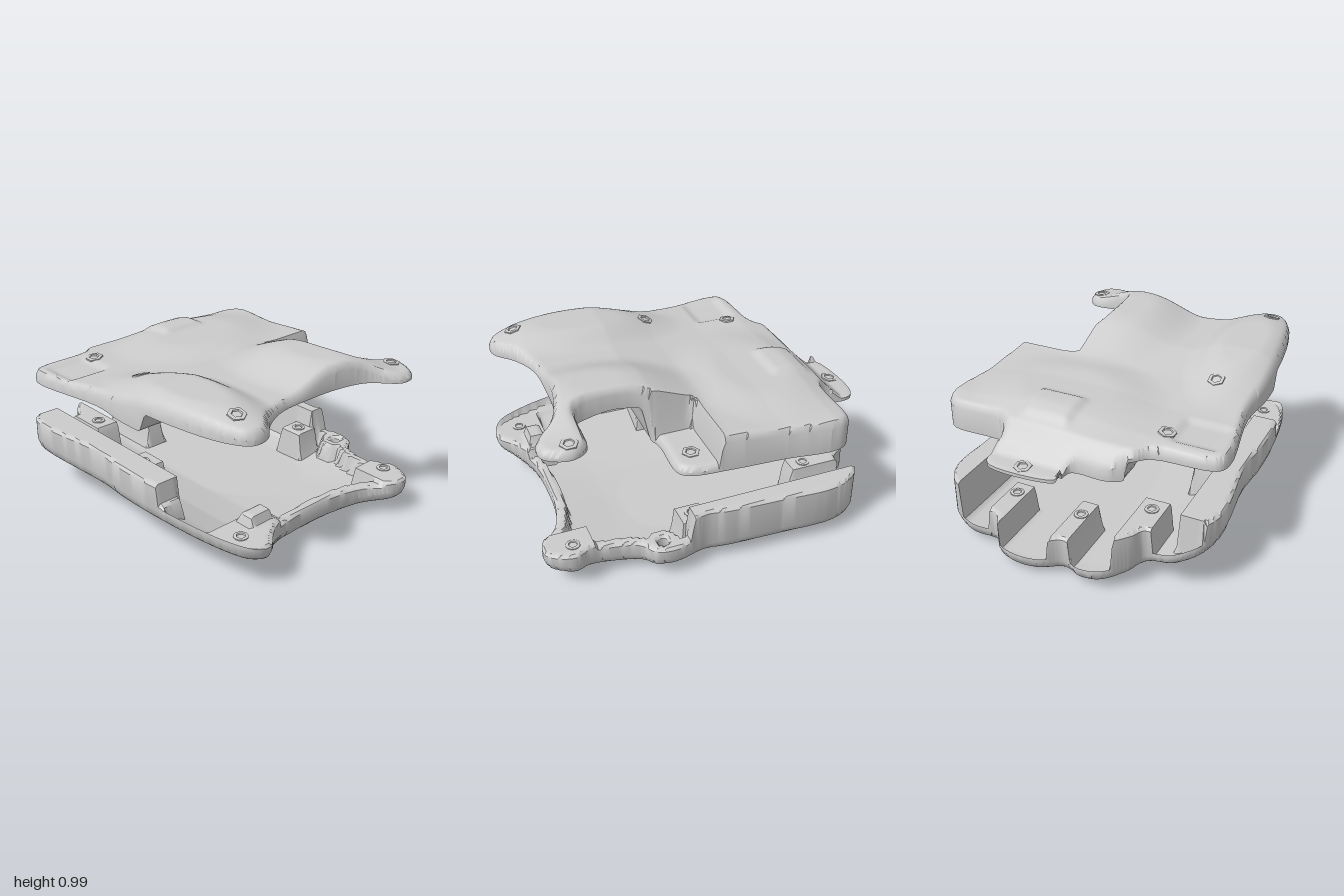
import * as THREE from 'three';
import { toCreasedNormals } from 'three/addons/utils/BufferGeometryUtils.js';

const { smoothstep, lerp } = THREE.MathUtils;
const material = new THREE.MeshStandardMaterial({ color: 0xcccccc });

// Piecewise linear profile through [position, value] pairs
function profile(points, v) {
  if (v <= points[0][0]) return points[0][1];
  for (let i = 1; i < points.length; i++) {
    const [a, ya] = points[i - 1], [b, yb] = points[i];
    if (v <= b) return lerp(ya, yb, (v - a) / (b - a));
  }
  return points[points.length - 1][1];
}

// Soft masks, 1 inside and 0 outside
const oval = (x, z, cx, cz, rx, rz, inner = 0) =>
  1 - smoothstep(Math.hypot((x - cx) / rx, (z - cz) / rz), inner, 1);
const box = (x, z, x0, x1, z0, z1, s = 0.016) =>
  smoothstep(x, x0 - s, x0) * (1 - smoothstep(x, x1, x1 + s)) *
  smoothstep(z, z0 - s, z0) * (1 - smoothstep(z, z1, z1 + s));
const roundEdge = (d, r) => (d >= r ? 0 : r - Math.sqrt(r * r - (r - d) ** 2));

function smoothLoop(points) {
  const v = points.map(([x, z]) => new THREE.Vector3(x, 0, z));
  return new THREE.CatmullRomCurve3(v, true, 'centripetal').getPoints(points.length * 5).map((p) => [p.x, p.z]);
}

function isInside(loops, x, z) {
  let inside = false;
  for (const loop of loops) {
    for (let i = 0, j = loop.length - 1; i < loop.length; j = i++) {
      const [xi, zi] = loop[i], [xj, zj] = loop[j];
      if (zi > z !== zj > z && x < ((xj - xi) * (z - zi)) / (zj - zi) + xi) inside = !inside;
    }
  }
  return inside;
}

function nearestOnLoops(loops, x, z) {
  let best = { d: Infinity, x, z };
  for (const loop of loops) {
    for (let i = 0, j = loop.length - 1; i < loop.length; j = i++) {
      const [ax, az] = loop[j], dx = loop[i][0] - ax, dz = loop[i][1] - az;
      const t = THREE.MathUtils.clamp(((x - ax) * dx + (z - az) * dz) / (dx * dx + dz * dz || 1), 0, 1);
      const px = ax + dx * t, pz = az + dz * t, d = Math.hypot(x - px, z - pz);
      if (d < best.d) best = { d, x: px, z: pz };
    }
  }
  return best;
}

// Closed slab: a grid trimmed to the outline, with a top and a bottom height rule
function slab(name, loops, top, bottom) {
  const step = 0.016, n = 130, at = (i) => (i - n / 2) * step;
  const kept = (i, j) => i >= 0 && j >= 0 && i < n && j < n && cells[j * n + i];
  const cells = [];
  for (let j = 0; j < n; j++) for (let i = 0; i < n; i++) cells.push(isInside(loops, at(i + 0.5), at(j + 0.5)));

  const positions = [], index = [], ids = new Map();
  function corner(i, j) {
    const key = j * (n + 1) + i;
    if (!ids.has(key)) {
      let x = at(i), z = at(j);
      const near = nearestOnLoops(loops, x, z);
      const onEdge = !(kept(i, j) && kept(i - 1, j) && kept(i, j - 1) && kept(i - 1, j - 1));
      if (onEdge) { x = near.x; z = near.z; }
      const d = onEdge ? 0 : near.d;
      const low = bottom(x, z, d), high = Math.max(top(x, z, d), low + 0.02);
      ids.set(key, positions.length / 3);
      positions.push(x, high, z, x, low, z);
    }
    return ids.get(key);
  }
  for (let j = 0; j < n; j++) {
    for (let i = 0; i < n; i++) {
      if (!kept(i, j)) continue;
      const ring = [corner(i, j), corner(i, j + 1), corner(i + 1, j + 1), corner(i + 1, j)];
      const [a, d, c, b] = ring;
      index.push(a, d, c, a, c, b, a + 1, c + 1, d + 1, a + 1, b + 1, c + 1);
      [[-1, 0], [0, 1], [1, 0], [0, -1]].forEach(([di, dj], k) => {
        if (kept(i + di, j + dj)) return;
        const p = ring[k], q = ring[(k + 1) % 4];
        index.push(p, p + 1, q + 1, p, q + 1, q);
      });
    }
  }
  const geometry = new THREE.BufferGeometry();
  geometry.setAttribute('position', new THREE.Float32BufferAttribute(positions, 3));
  geometry.setIndex(index);
  const mesh = new THREE.Mesh(toCreasedNormals(geometry, 0.7), material);
  mesh.name = name;
  return mesh;
}

// Ring with a sunken socket, tilted to lie on the surface
function screw(name, height, x, z, r, sides) {
  const pts = [[r, -0.03], [r, 0.005], [r * 0.6, 0.007], [r * 0.5, -0.004], [0, -0.004]];
  const geometry = new THREE.LatheGeometry(pts.map((p) => new THREE.Vector2(...p)), sides);
  const mesh = new THREE.Mesh(toCreasedNormals(geometry, 0.5), material);
  const h = (dx, dz) => height(x + dx * r, z + dz * r, 1);
  const normal = new THREE.Vector3(h(-1, 0) - h(1, 0), 2 * r, h(0, -1) - h(0, 1)).normalize();
  mesh.quaternion.setFromUnitVectors(new THREE.Vector3(0, 1, 0), normal);
  mesh.position.set(x, h(0, 0), z);
  mesh.name = name;
  return mesh;
}

// Upper cover
const coverOutline = smoothLoop([
  [-0.82, -0.58], [-0.78, -0.65], [-0.44, -0.69], [-0.36, -0.76], [-0.25, -0.82], [-0.05, -0.83],
  [-0.03, -0.94], [0.04, -0.97], [0.35, -0.97], [0.4, -0.92], [0.41, -0.73], [0.76, -0.7], [0.82, -0.62],
  [0.79, -0.3], [0.77, 0], [0.74, 0.22], [0.69, 0.27], [0.4, 0.28], [0.36, 0.34], [0.36, 0.66], [0.4, 0.72],
  [0.62, 0.72], [0.68, 0.82], [0.62, 0.95], [0.52, 0.96], [0.38, 0.83], [0.2, 0.78], [0, 0.77], [-0.22, 0.78],
  [-0.38, 0.85], [-0.5, 0.95], [-0.6, 0.95], [-0.68, 0.83], [-0.75, 0.5], [-0.77, 0.15], [-0.75, -0.1],
]);
const coverSpine = [[-0.98, 0.645], [-0.88, 0.65], [-0.82, 0.7], [-0.73, 0.79], [-0.6, 0.81], [-0.3, 0.81],
  [0, 0.835], [0.3, 0.88], [0.78, 0.895], [0.96, 0.89]];

function coverTop(x, z, d) {
  let y = profile(coverSpine, z);
  y += 0.075 * oval(x, z, -0.54, 0.42, 0.3, 0.68, 0.35); // side pad
  y += 0.1 * oval(x, z, 0.24, 0.54, 0.42, 0.65, 0.2); // arm ridge
  y += 0.04 * oval(x, z, 0.2, -0.38, 0.6, 0.44, 0.4); // rear dome
  y += 0.022 * box(x, z, 0.07, 0.29, -0.66, -0.5, 0.06); // raised button
  y -= 0.02 * box(x, z, -0.72, -0.53, -0.55, -0.38, 0.06); // corner pad
  const scoop = box(x, z, 0.43, 1, 0.1, 0.4, 0.08); // side pocket
  y = lerp(y, 0.67, smoothstep(scoop, 0.1, 0.6));
  return y - roundEdge(d, z < -0.8 ? 0.015 : 0.04);
}
function coverBottom(x, z, d) {
  let y = lerp(0.73, 0.62, smoothstep(x, -0.05, -0.025));
  y = lerp(y, 0.62, box(x, z, -0.33, 0, -0.9, -0.6));
  // hollow underside, kept clear of the pocket floor
  const hollow = box(x, z, -0.62, 0.7, -0.62, 0.22) * (1 - box(x, z, 0.32, 1, -0.02, 1)) * smoothstep(d, 0.06, 0.08);
  y = lerp(y, 0.765, hollow);
  y = lerp(y, 0.62, oval(x, z, -0.52, 0, 0.085, 0.085, 0.8)); // screw post
  const arm = 0.84 + 0.02 * oval(x, z, 0.3, 0.5, 0.25, 0.2);
  return lerp(y, arm, smoothstep(z, 0.29, 0.35));
}

// Lower tray
const trayOutline = smoothLoop([
  [-0.81, -0.62], [-0.75, -0.75], [-0.62, -0.8], [-0.45, -0.77], [-0.4, -0.85], [-0.28, -0.96], [-0.14, -0.96],
  [-0.03, -0.91], [0.08, -0.98], [0.2, -1], [0.34, -0.96], [0.42, -0.86], [0.58, -0.87], [0.72, -0.81],
  [0.8, -0.66], [0.79, -0.3], [0.77, 0], [0.75, 0.12], [0.8, 0.3], [0.78, 0.42], [0.7, 0.48], [0.66, 0.6],
  [0.65, 0.75], [0.69, 0.84], [0.62, 0.98], [0.52, 0.98], [0.38, 0.87], [0.2, 0.82], [0, 0.81], [-0.22, 0.83],
  [-0.38, 0.9], [-0.5, 0.99], [-0.62, 0.96], [-0.7, 0.8], [-0.77, 0.4], [-0.78, 0.1], [-0.76, -0.1],
]);
const lugHole = Array.from({ length: 16 }, (_, i) =>
  [0.715 + 0.032 * Math.cos((i * Math.PI) / 8), 0.36 + 0.032 * Math.sin((i * Math.PI) / 8)]);
const hullAcross = [[-0.82, 0.28], [-0.6, 0.17], [-0.4, 0.09], [-0.15, 0.03], [0.15, 0], [0.4, 0.015], [0.6, 0.04], [0.8, 0.08]];
const hullAlong = [[-1, 0.04], [-0.85, 0.015], [-0.5, 0], [0, 0], [0.5, 0.035], [0.8, 0.07], [1, 0.11]];
const hull = (x, z) => Math.hypot(profile(hullAcross, x), profile(hullAlong, z));
const fingerDishes = [[0.4, -0.48, 0.14, 0.2], [0.02, -0.52, 0.14, 0.2], [-0.34, -0.45, 0.13, 0.2]];
const palmDishes = [[0.4, 0.35, 0.12, 0.34], [0.03, 0.22, 0.14, 0.36]];

function trayBottom(x, z, d) {
  let y = hull(x, z) + roundEdge(d, 0.06);
  for (const dish of [...fingerDishes, ...palmDishes]) y += 0.014 * oval(x, z, ...dish, 0.8);
  for (const [cx, cz] of fingerDishes) y += 0.015 * oval(x, z, cx, cz, 0.05, 0.05, 0.7);
  return y;
}
// Walls, dividers and screw bosses: x0, x1, z0, z1, height
const trayBlocks = [
  [-1, -0.62, -0.72, 0.42, 0.465], [-1, -0.64, 0.42, 0.46, 0.355], [0.67, 1, -0.86, 0.2, 0.355],
  [-0.48, -0.33, -0.92, -0.5, 0.355], [-0.07, 0.04, -0.95, -0.55, 0.25], [0.35, 0.47, -0.95, -0.55, 0.25],
  [-0.62, -0.44, -0.09, 0.09, 0.355], [0.53, 0.67, 0.07, 0.23, 0.25], [0.48, 1, 0.72, 1, 0.235],
  [-0.7, -0.29, 0.7, 1, 0.27], [-0.46, -0.33, 0.74, 0.82, 0.33],
];
function trayTop(x, z, d) {
  let y = Math.max(0.075, hull(x, z) + 0.045);
  const rim = smoothstep(z, 0.18, 0.22) * (1 - smoothstep(d, 0.055, 0.075));
  const rimHeight = profile([[-0.6, 0.27], [-0.2, 0.21]], x);
  y = Math.max(y, lerp(y, rimHeight, rim));
  for (const [x0, x1, z0, z1, h] of trayBlocks) y = Math.max(y, lerp(y, h, box(x, z, x0, x1, z0, z1)));
  return y - roundEdge(d, 0.015);
}

export function createModel() {
  const model = new THREE.Group();
  model.name = 'splitShell';

  const upper = new THREE.Group();
  upper.name = 'upperCover';
  upper.add(slab('coverShell', [coverOutline], coverTop, coverBottom));
  for (const [x, z] of [[-0.46, -0.53], [-0.52, 0], [-0.57, 0.81], [0.61, 0.81], [0.61, 0.16], [0.18, -0.92]])
    upper.add(screw('coverScrew', coverTop, x, z, 0.05, 6));

  const lower = new THREE.Group();
  lower.name = 'lowerTray';
  lower.add(slab('trayShell', [trayOutline, lugHole], trayTop, trayBottom));
  for (const [x, z] of [[-0.41, -0.6], [-0.02, -0.68], [0.41, -0.65], [-0.53, 0], [0.6, 0.15], [0.6, 0.83], [-0.56, 0.84]])
    lower.add(screw('bossSocket', trayTop, x, z, 0.04, 12));

  model.add(upper, lower);
  return model;
}
